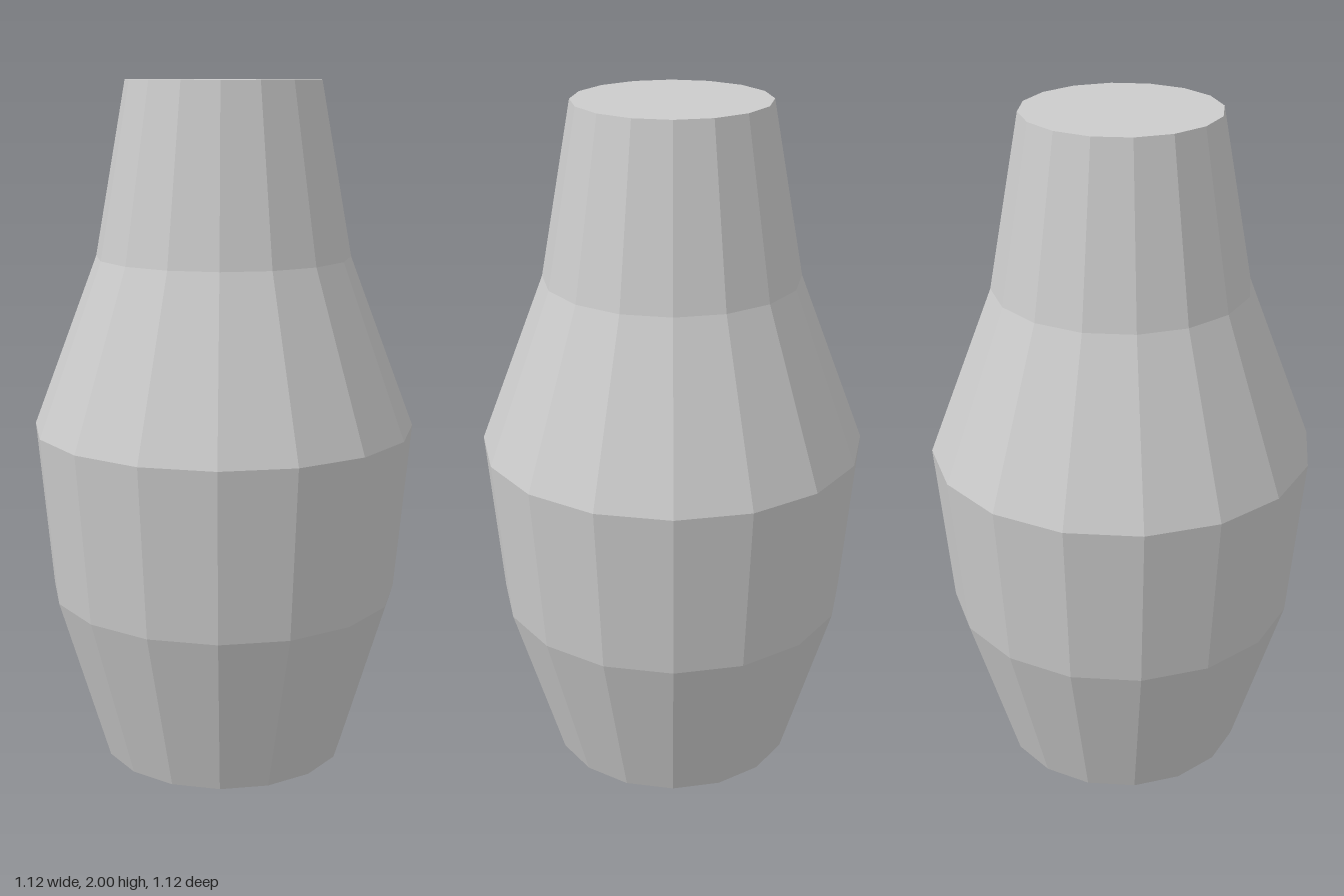
import * as THREE from 'three';

export function createModel() {
  const group = new THREE.Group();
  group.name = 'vase';

  // Outline from the base centre up to the top centre, as [radius, height]
  const profile = [
    [0, 0], [0.365, 0], [0.515, 0.5], [0.56, 1], [0.37, 1.5], [0.28, 2], [0, 2],
  ].map(([r, y]) => new THREE.Vector2(r, y));

  // Closed sixteen-sided faceted body
  const body = new THREE.Mesh(
    new THREE.LatheGeometry(profile, 16),
    new THREE.MeshStandardMaterial({ color: 0xcccccc, flatShading: true })
  );
  body.name = 'vaseBody';
  group.add(body);

  return group;
}
